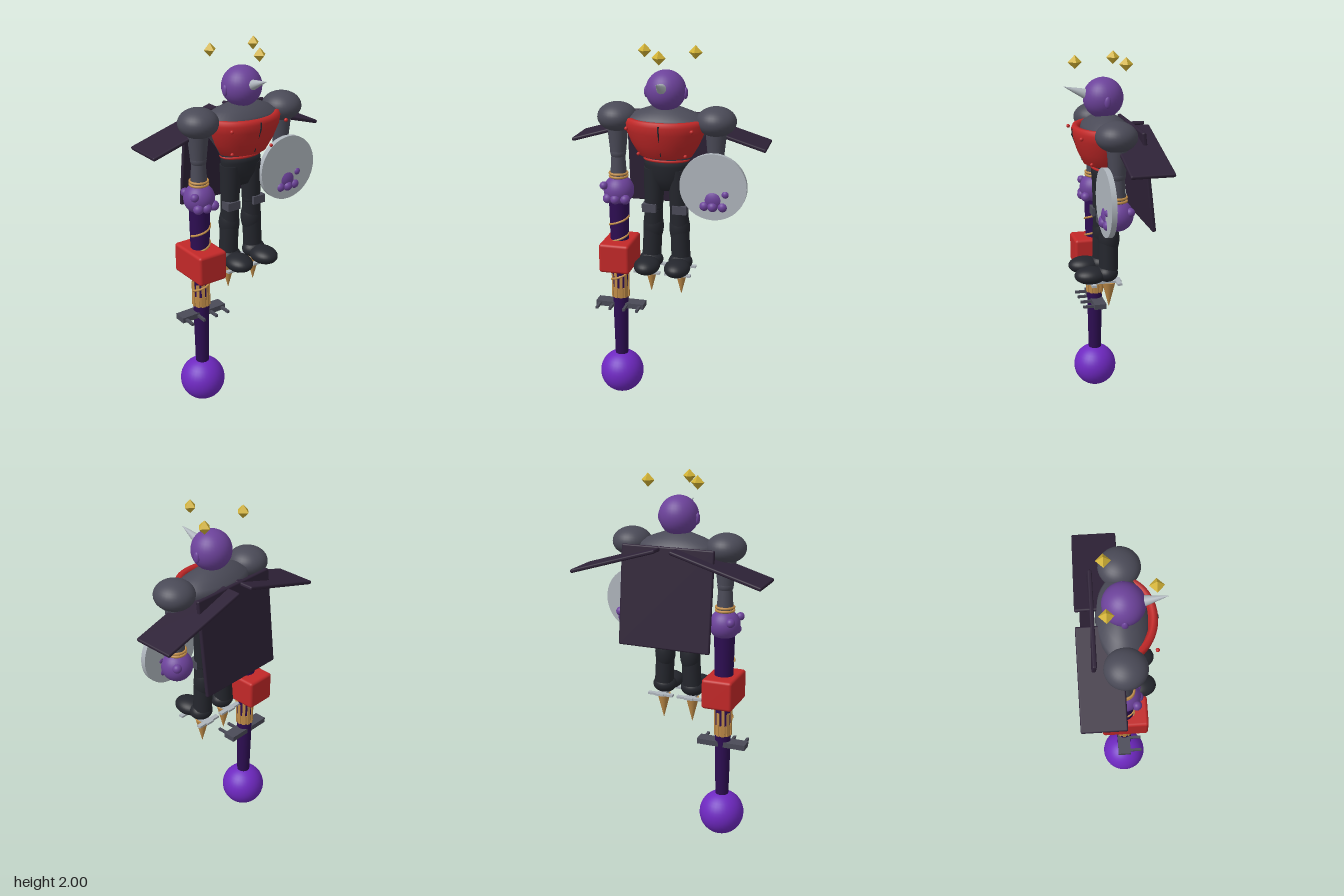
import * as THREE from 'three';
import { RoundedBoxGeometry } from 'three/addons/geometries/RoundedBoxGeometry.js';

const mat = (name, color, side = THREE.FrontSide) => {
  const m = new THREE.MeshStandardMaterial({ color, side });
  m.name = name;
  return m;
};

export function createModel() {
  const M = {
    black: mat('black suit', 0x24262d),
    grey: mat('slate armour', 0x4a4a57),
    purple: mat('purple skin', 0x6c429a),
    violet: mat('violet', 0x6e28c0),
    deep: mat('deep purple', 0x2d0d52),
    red: mat('red armour', 0xc22828, THREE.DoubleSide),
    cape: mat('dark plum', 0x2e2237),
    silver: mat('silver', 0xaeb5bc),
    gold: mat('gold', 0xd2b236),
    tan: mat('tan', 0xc08c48),
  };
  const root = new THREE.Group();
  root.name = 'armouredFigure';

  const add = (name, geo, m, x = 0, y = 0, z = 0) => {
    const mesh = new THREE.Mesh(geo, m);
    mesh.name = name;
    mesh.position.set(x, y, z);
    root.add(mesh);
    return mesh;
  };
  const ball = (name, m, x, y, z, rx, ry = rx, rz = rx) => {
    const b = add(name, new THREE.SphereGeometry(1, 32, 20), m, x, y, z);
    b.scale.set(rx, ry, rz);
    return b;
  };
  // Tapered rod from point a to point b
  const rod = (name, m, a, b, ra, rb, sides = 24) => {
    const p = new THREE.Vector3(...a), q = new THREE.Vector3(...b);
    const d = q.clone().sub(p);
    const r = add(name, new THREE.CylinderGeometry(rb, ra, d.length(), sides), m);
    r.position.copy(p).add(q).multiplyScalar(0.5);
    r.quaternion.setFromUnitVectors(new THREE.Vector3(0, 1, 0), d.normalize());
    return r;
  };
  const box = (name, m, x, y, z, w, h, d) => add(name, new THREE.BoxGeometry(w, h, d), m, x, y, z);
  const lathe = (name, m, pts, sx, from = 0, len = Math.PI * 2) => {
    const l = add(name, new THREE.LatheGeometry(pts.map(p => new THREE.Vector2(...p)), 40, from, len), m);
    l.scale.x = sx;
    return l;
  };

  // Head, horn and floating crown; the figure looks toward +x
  ball('head', M.purple, 0.01, 1.785, 0, 0.105);
  rod('horn', M.silver, [0.09, 1.803, 0], [0.215, 1.848, 0], 0.03, 0.001);
  for (const [x, z] of [[0.157, 0], [-0.075, 0.135], [-0.075, -0.135]])
    add('crownGem', new THREE.OctahedronGeometry(0.036), M.gold, x, 1.97, z);

  // Torso, chest plate and belt
  lathe('torso', M.grey, [[0, 1.4], [0.115, 1.41], [0.15, 1.48], [0.215, 1.57], [0.232, 1.615],
    [0.215, 1.645], [0.15, 1.675], [0.08, 1.7], [0, 1.705]], 0.55);
  lathe('chestPlate', M.red, [[0.125, 1.44], [0.145, 1.445], [0.185, 1.51], [0.215, 1.58], [0.222, 1.62],
    [0.212, 1.642], [0.19, 1.645], [0.172, 1.63], [0.125, 1.44]], 0.79, 0.2, Math.PI - 0.4);
  const seam = rod('chestSeam', M.black, [0.121, 1.462, 0], [0.176, 1.6, 0], 0.004, 0.004, 8);
  seam.renderOrder = 0;
  rod('chestSeamTop', M.black, [0.176, 1.6, 0], [0.174, 1.63, 0], 0.004, 0.004, 8);
  const belt = add('belt', new THREE.TorusGeometry(0.118, 0.007, 10, 40), M.red, 0, 1.422, 0);
  belt.rotation.x = Math.PI / 2;
  belt.scale.x = 0.62;
  lathe('pelvis', M.black, [[0, 1.24], [0.06, 1.255], [0.105, 1.32], [0.12, 1.39], [0.116, 1.42], [0, 1.43]], 0.6);

  for (const s of [1, -1]) {
    // Ears and chest studs
    ball('ear', M.purple, 0.01, 1.775, s * 0.104, 0.017, 0.03, 0.012);
    ball('studUpper', M.red, 0.162, 1.61, s * 0.17, 0.01);
    ball('studLower', M.red, 0.1, 1.465, s * 0.125, 0.009);

    // Arm
    const z = s * 0.265;
    ball('shoulder', M.grey, 0.005, 1.635, z, 0.107, 0.077, 0.105);
    rod('upperArm', M.grey, [0, 1.6, z], [0, 1.44, z], 0.058, 0.042);
    ball('elbow', M.grey, 0, 1.44, z, 0.043);
    rod('forearm', M.grey, [0, 1.44, z], [0, 1.29, z], 0.036, 0.046);
    for (const y of [1.308, 1.325]) {
      const band = add('wristBand', new THREE.TorusGeometry(0.047, 0.007, 8, 28), M.tan, 0, y, z);
      band.rotation.x = Math.PI / 2;
    }
    ball('hand', M.purple, 0, 1.23, z, 0.083);
    ball('thumb', M.purple, 0.06, 1.265, z + s * 0.066, 0.022);
    for (const [dx, dz] of [[0.06, -0.052], [0.07, 0], [0.06, 0.045]])
      ball('knuckle', M.purple, dx, 1.195, z + dz, 0.027);
    ball('rearKnuckle', M.purple, -0.055, 1.255, z + s * 0.05, 0.024);

    // Leg
    rod('thigh', M.black, [0, 1.37, s * 0.064], [0, 1.16, s * 0.07], 0.058, 0.05);
    ball('knee', M.black, 0, 1.155, s * 0.07, 0.05);
    rod('shin', M.black, [0, 1.14, s * 0.07], [0, 0.87, s * 0.082], 0.05, 0.052);
    ball('calf', M.black, -0.004, 1.04, s * 0.073, 0.056, 0.1, 0.056);
    box('kneePad', M.grey, 0.03, 1.155, s * 0.083, 0.06, 0.045, 0.076);

    // Foot with sole plate and spike
    ball('heel', M.black, 0.01, 0.85, s * 0.082, 0.06, 0.048, 0.066);
    ball('foot', M.black, 0.1, 0.843, s * 0.084, 0.088, 0.046, 0.07);
    box('solePlate', M.silver, 0.03, 0.803, s * 0.085, 0.19, 0.012, 0.05);
    for (const x of [-0.045, 0.095]) box('soleCrossbar', M.silver, x, 0.803, s * 0.085, 0.025, 0.012, 0.145);
    rod('footSpike', M.tan, [0, 0.797, s * 0.085], [0, 0.655, s * 0.085], 0.037, 0.001);

    // Side cape panel
    const wing = add('sideCape', new RoundedBoxGeometry(0.225, 0.02, 0.507, 2, 0.008), M.cape,
      -0.1125, 1.563, s * 0.2825);
    wing.rotation.x = s * 0.29;
  }

  // Back cape
  const cape = add('backCape', new RoundedBoxGeometry(0.022, 0.53, 0.51, 2, 0.008), M.cape, -0.171, 1.383, 0);
  cape.rotation.z = -0.118;

  // Round shield on the -z arm
  const shield = add('shield', new THREE.CylinderGeometry(0.178, 0.178, 0.028, 48), M.silver, 0.057, 1.3, -0.265);
  shield.rotation.z = Math.PI / 2;

  // Long mace in the +z hand
  const mz = 0.265;
  rod('maceHandle', M.deep, [0, 0.22, mz], [0, 1.2, mz], 0.036, 0.056);
  ball('maceBall', M.violet, 0, 0.13, mz, 0.124);
  add('maceBlock', new RoundedBoxGeometry(0.25, 0.165, 0.17, 3, 0.016), M.red, 0.002, 0.868, mz);

  // Tan grip with fringe
  rod('grip', M.tan, [0, 0.605, mz], [0, 0.665, mz], 0.045, 0.047);
  for (let i = 0; i < 10; i++) {
    const a = (i / 10) * Math.PI * 2, h = i % 2 ? 0.135 : 0.185;
    const strip = box('gripStrip', M.tan, Math.sin(a) * 0.045, 0.605 + h / 2, mz + Math.cos(a) * 0.045, 0.017, h, 0.009);
    strip.rotation.y = a;
  }

  // Cord wound over the front of the handle
  for (const [y, r] of [[1.055, 0.054], [0.955, 0.052], [0.73, 0.05]]) {
    const pts = [];
    for (let i = 0; i <= 10; i++) {
      const a = (i / 10) * Math.PI;
      pts.push(new THREE.Vector3(Math.sin(a) * r, y - 0.03 + 0.06 * i / 10, mz + Math.cos(a) * r));
    }
    add('cord', new THREE.TubeGeometry(new THREE.CatmullRomCurve3(pts), 24, 0.006, 8), M.tan);
  }

  // Toothed crossbar
  box('crossbar', M.grey, -0.005, 0.556, mz, 0.07, 0.03, 0.275);
  for (const dz of [-0.115, -0.04, 0.04, 0.115])
    box('crossbarTooth', M.grey, 0.06, 0.556, mz + dz, 0.065, 0.014, 0.014);

  return root;
}
